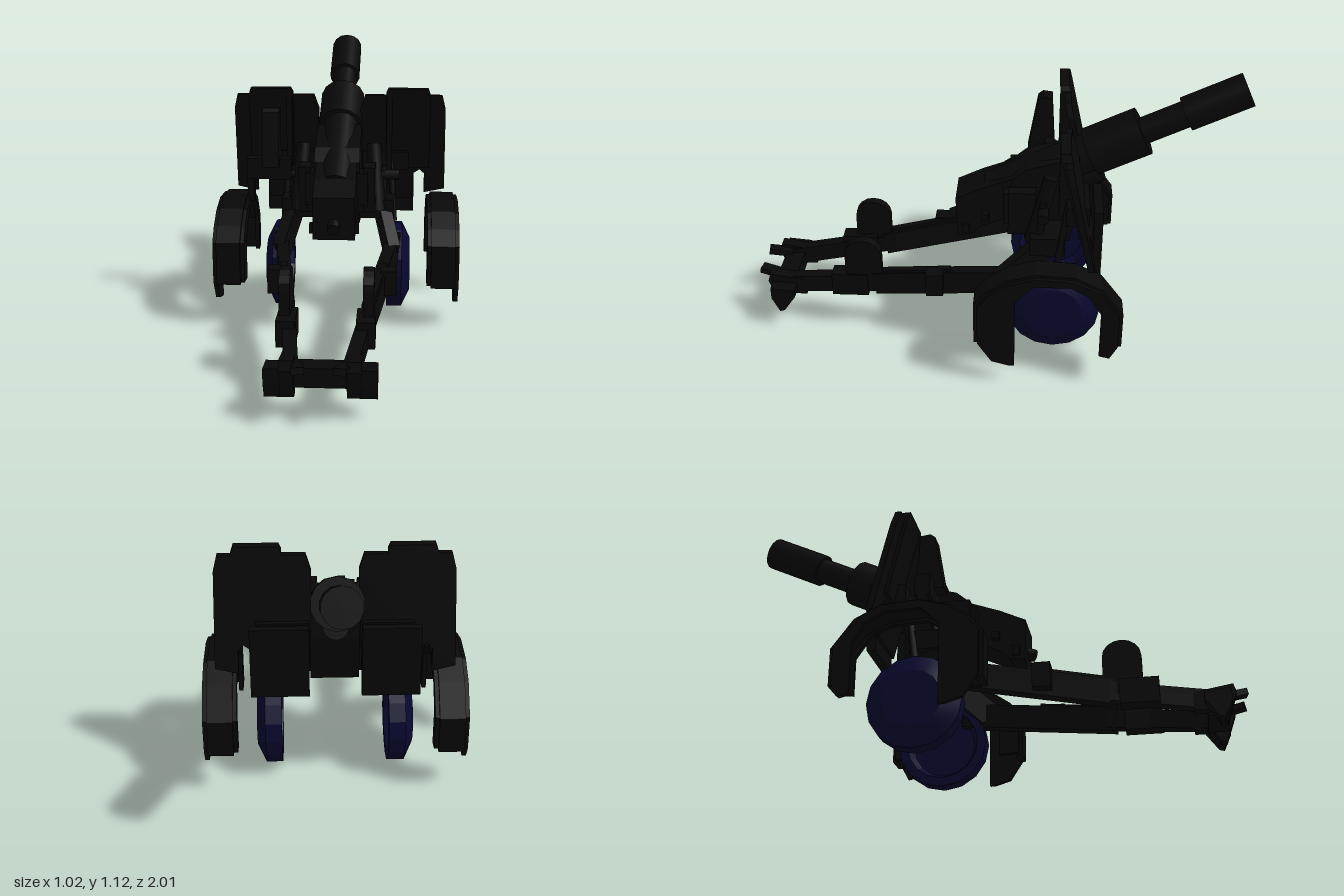
import * as THREE from 'three';
import { toCreasedNormals } from 'three/addons/utils/BufferGeometryUtils.js';

const black = new THREE.MeshStandardMaterial({ color: 0x080808 });
black.name = 'gunBlack';
const navy = new THREE.MeshStandardMaterial({ color: 0x080830 });
navy.name = 'wheelNavy';

const V = (x, y, z) => new THREE.Vector3(x, y, z);

export function createModel() {
  const root = new THREE.Group();
  root.name = 'fieldGun';

  const add = (name, geo, mat = black) => {
    const m = new THREE.Mesh(geo, mat);
    m.name = name;
    root.add(m);
    return m;
  };
  const box = (name, x0, x1, y0, y1, z0, z1) => {
    const m = add(name, new THREE.BoxGeometry(Math.abs(x1 - x0), y1 - y0, z1 - z0));
    m.position.set((x0 + x1) / 2, (y0 + y1) / 2, (z0 + z1) / 2);
    return m;
  };
  // plate outlined in (z, y), centred at x with the given thickness
  const sidePlate = (name, pts, x, width) => {
    const shape = new THREE.Shape(pts.map(p => new THREE.Vector2(p[0], p[1])));
    const g = new THREE.ExtrudeGeometry(shape, { depth: width, bevelEnabled: false });
    g.translate(0, 0, -width / 2).rotateY(-Math.PI / 2).translate(x, 0, 0);
    return add(name, g);
  };
  // bar with rectangular section between two points
  const bar = (name, a, b, w, h) => {
    const m = add(name, new THREE.BoxGeometry(w, h, a.distanceTo(b)));
    m.position.copy(a).lerp(b, 0.5);
    m.lookAt(b);
    return m;
  };
  // round rod between two points
  const rod = (name, a, b, ra, rb = ra, sides = 14) => {
    const g = new THREE.CylinderGeometry(rb, ra, a.distanceTo(b), sides).rotateX(Math.PI / 2);
    const m = add(name, g);
    m.position.copy(a).lerp(b, 0.5);
    m.lookAt(b);
    return m;
  };

  // --- gun, laid along an inclined axis ---
  const axis = (z, dy = 0) => V(0, 0.59 - 0.48 * z + dy, z);
  rod('muzzleBrake', axis(-0.74), axis(-0.97), 0.069);
  rod('barrel', axis(-0.3), axis(-0.75), 0.054);
  rod('barrelSleeve', axis(-0.375), axis(-0.578), 0.098);
  rod('recoilTube', axis(0.02), axis(-0.42), 0.08);
  rod('recuperator', axis(-0.05, -0.1), axis(-0.42, -0.1), 0.05);
  sidePlate('breech', [[0.16, 0.41], [0.165, 0.585], [0.06, 0.635], [-0.06, 0.68], [-0.06, 0.51],
    [0.07, 0.45], [0.1, 0.42]], 0, 0.17);
  box('breechRing', -0.13, 0.13, 0.5, 0.64, -0.13, -0.03);
  box('breechHandle', -0.115, 0.115, 0.5, 0.53, 0.03, 0.06);
  box('breechLatch', -0.1, 0.1, 0.43, 0.47, 0.11, 0.14);
  rod('breechPin', V(0, 0.48, 0.14), V(0, 0.46, 0.19), 0.025);

  // --- carriage behind the gap between the shields ---
  sidePlate('cradle', [[-0.04, 0.5], [-0.06, 0.68], [-0.12, 0.73], [-0.33, 0.79], [-0.34, 0.6],
    [-0.3, 0.4], [-0.14, 0.4]], 0, 0.19);
  box('carriageBeam', -0.24, 0.24, 0.42, 0.5, -0.28, -0.14);

  for (const s of [1, -1]) {
    const side = s > 0 ? 'left' : 'right';
    const nm = n => side + n;

    // shield: tilted upper plate, raised top edge, upright lower plate
    const tilted = (name, pts, depth) => {
      const shape = new THREE.Shape(pts.map(p => new THREE.Vector2(s * p[0], p[1])));
      const g = new THREE.ExtrudeGeometry(shape, { depth, bevelEnabled: false });
      const p = g.attributes.position;
      for (let i = 0; i < p.count; i++) {
        p.setZ(i, p.getZ(i) - 0.29 - (0.95 - p.getY(i)) * 0.22);
      }
      g.computeVertexNormals();
      return add(name, g);
    };
    tilted(nm('Shield'), [[0.09, 0.87], [0.11, 0.93], [0.44, 0.93], [0.455, 0.87], [0.46, 0.5],
      [0.37, 0.48], [0.37, 0.57], [0.35, 0.59], [0.32, 0.57], [0.32, 0.45], [0.1, 0.45]], 0.025);
    tilted(nm('ShieldCrest'), [[0.2, 0.6], [0.2, 0.94], [0.21, 0.96], [0.38, 0.96],
      [0.39, 0.93], [0.39, 0.6]], 0.04);
    sidePlate(nm('ShieldRib'), [[-0.25, 0.6], [-0.25, 0.94], [-0.28, 0.94], [-0.35, 0.65], [-0.35, 0.6]],
      s * 0.215, 0.025);
    box(nm('LowerShield'), s * 0.1, s * 0.325, 0.39, 0.68, -0.42, -0.385);
    box(nm('ShieldBracket'), s * 0.1, s * 0.3, 0.6, 0.68, -0.37, -0.28);

    // wheel: tapered outer rim, hollow inner face
    const prof = [[0, 0.045], [0.13, 0.045], [0.15, 0], [0.187, 0], [0.187, 0.065], [0.116, 0.1],
      [0, 0.1]].map(p => new THREE.Vector2(p[0], p[1]));
    const wg = toCreasedNormals(new THREE.LatheGeometry(prof, 16), 0.2);
    wg.rotateZ(-s * Math.PI / 2);
    add(nm('Wheel'), wg, navy).position.set(s * 0.21, 0.188, -0.24);

    // mudguard: curved shell with an outer skirt and a thin inner lip set slightly lower
    const outer = [[0.07, 0.18], [0.07, 0.36], [0.02, 0.42], [-0.06, 0.475], [-0.17, 0.505],
      [-0.32, 0.495], [-0.42, 0.445], [-0.505, 0.33], [-0.505, 0.18]];
    const inner = [[-0.475, 0.18], [-0.475, 0.32], [-0.4, 0.42], [-0.31, 0.465], [-0.17, 0.475],
      [-0.07, 0.445], [0, 0.395], [0.04, 0.35], [0.04, 0.18]];
    const shoulder = outer.map(([z, y]) => [z + (-0.22 - z) * 0.05, y + (0.3 - y) * 0.05]);
    sidePlate(nm('Mudguard'), [...outer, ...inner], s * 0.445, 0.1);
    sidePlate(nm('MudguardSkirt'), [[-0.07, 0.08], [0.0, 0.1], ...shoulder, [-0.46, 0.13], [-0.42, 0.14],
      [-0.42, 0.34], [-0.37, 0.42], [-0.3, 0.46], [-0.16, 0.46], [-0.09, 0.39], [-0.09, 0.08]], s * 0.502, 0.018);
    sidePlate(nm('MudguardLip'), [[-0.03, 0.18], ...shoulder, [-0.44, 0.18], [-0.44, 0.33], [-0.38, 0.42],
      [-0.3, 0.455], [-0.16, 0.46], [-0.08, 0.41], [-0.03, 0.35]], s * 0.388, 0.018);

    // trail leg, its fittings and tool bracket
    bar(nm('Trail'), V(s * 0.245, 0.31, -0.15), V(s * 0.15, 0.215, 0.5), 0.05, 0.1);
    bar(nm('TrailTail'), V(s * 0.155, 0.22, 0.46), V(s * 0.1, 0.165, 0.92), 0.05, 0.075);
    bar(nm('TrailRail'), V(s * 0.2, 0.3, 0.18), V(s * 0.14, 0.235, 0.6), 0.03, 0.05);
    box(nm('TrailClamp'), s * 0.19, s * 0.255, 0.22, 0.32, 0.21, 0.28);
    box(nm('TrailCollar'), s * 0.11, s * 0.18, 0.16, 0.26, 0.53, 0.68);
    bar(nm('TrailRoot'), V(s * 0.19, 0.44, -0.2), V(s * 0.235, 0.3, -0.04), 0.05, 0.1);
    const hump = [[0.47, 0.2]];
    for (let i = 0; i <= 8; i++) {
      const a = Math.PI * i / 8;
      hump.push([0.545 - 0.075 * Math.cos(a), 0.355 + 0.068 * Math.sin(a)]);
    }
    hump.push([0.62, 0.2]);
    sidePlate(nm('TrailHump'), hump, s * 0.153, 0.04);

    // spade and towing tip at the trail end
    sidePlate(nm('Spade'), [[0.8, 0.13], [0.8, 0.2], [0.86, 0.21], [0.95, 0.225], [0.96, 0.19],
      [0.92, 0.08], [0.895, 0.08], [0.87, 0.13]], s * 0.115, 0.05);
    sidePlate(nm('SpadeBlade'), [[0.84, 0.15], [0.84, 0.18], [0.94, 0.19], [0.94, 0.14], [0.91, 0.075],
      [0.89, 0.08]], s * 0.165, 0.06);
    bar(nm('TrailTip'), V(s * 0.085, 0.19, 0.9), V(s * 0.07, 0.21, 1.0), 0.045, 0.025);

    // hanging levers, equilibrator and gear boxes by the cradle
    rod(nm('Equilibrator'), V(s * 0.17, 0.45, -0.15), V(s * 0.15, 0.73, -0.22), 0.035, 0.03, 10);
    rod(nm('Lever'), V(s * 0.2, 0.39, -0.17), V(s * 0.19, 0.64, -0.19), 0.014, 0.014, 8);
    rod(nm('Brace'), V(s * 0.24, 0.38, -0.25), V(s * 0.22, 0.66, -0.29), 0.014, 0.014, 8);
    box(nm('GearBox'), s * 0.11, s * 0.16, 0.47, 0.66, -0.16, -0.05);
    rod(nm('ElevationShaft'), V(s * 0.1, 0.6, -0.19), V(s * 0.26, 0.6, -0.19), 0.022, 0.022, 10);
  }

  // crossbar joining the trail ends
  box('trailCrossbar', -0.1, 0.1, 0.12, 0.19, 0.85, 0.93);

  // sighting gear on the right shield
  sidePlate('sightColumn', [[-0.12, 0.64], [-0.16, 0.87], [-0.18, 0.885], [-0.22, 0.88],
    [-0.235, 0.64]], -0.285, 0.07);
  box('sightBase', -0.39, -0.2, 0.58, 0.67, -0.22, -0.16);
  box('sightDrop', -0.39, -0.36, 0.48, 0.64, -0.21, -0.17);

  return root;
}
